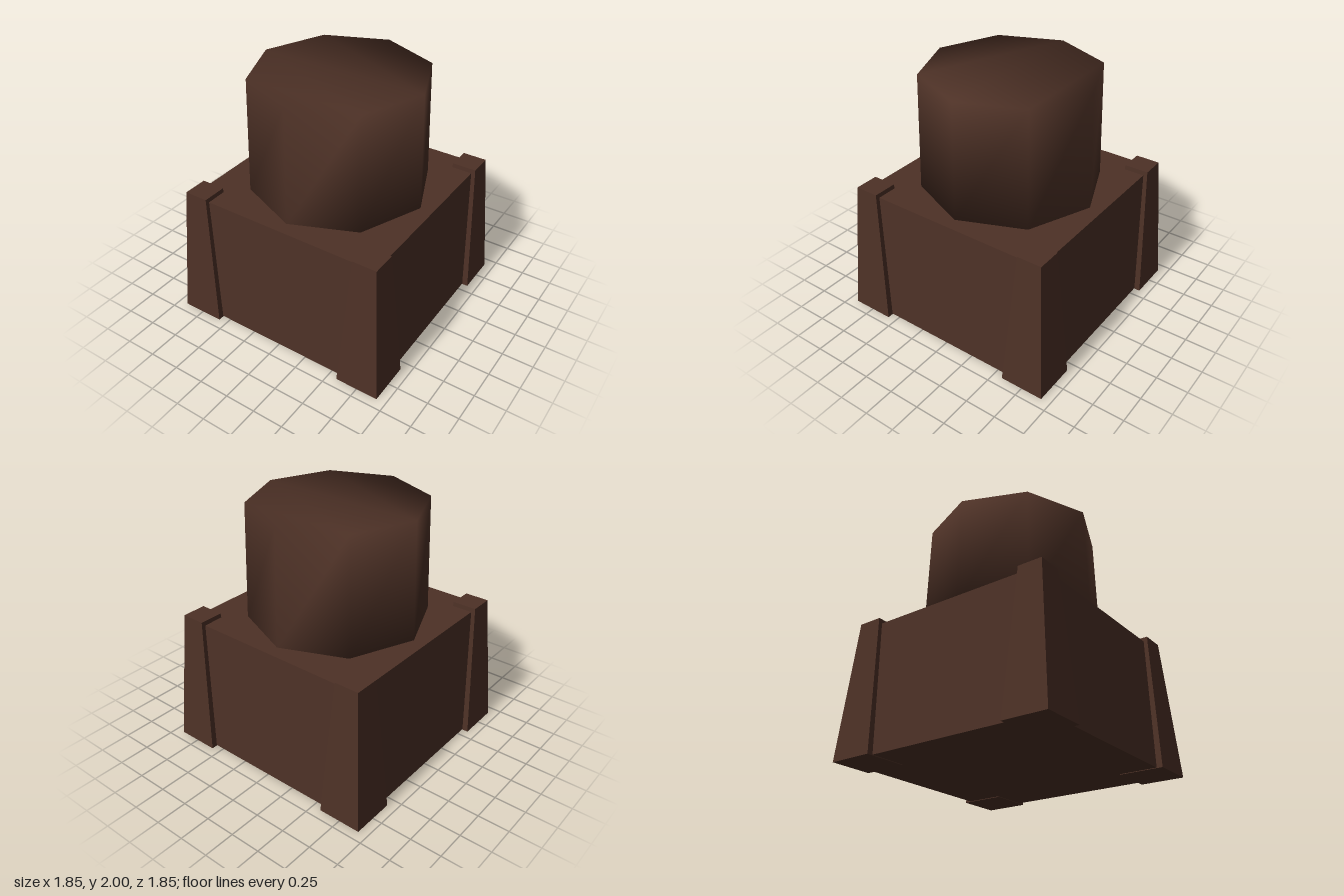
import * as THREE from 'three';

const brown = new THREE.MeshStandardMaterial({ color: 0x4d3126 });
brown.name = 'dark brown';

// Box whose top and bottom have different half widths
function taperedBlock(bottomHalf, topHalf, y0, y1) {
  const geo = new THREE.BoxGeometry(2, 1, 2);
  const p = geo.attributes.position;
  for (let i = 0; i < p.count; i++) {
    const up = p.getY(i) > 0;
    const half = up ? topHalf : bottomHalf;
    p.setXYZ(i, p.getX(i) * half, up ? y1 : y0, p.getZ(i) * half);
  }
  geo.computeVertexNormals();
  return geo;
}

// Closed eight-sided drum, with shared vertices so the shading rolls over the rim
function smoothDrum(bottomRadius, topRadius, y0, y1, sides) {
  const pos = [], index = [];
  for (const [r, y] of [[bottomRadius, y0], [topRadius, y1]]) {
    for (let i = 0; i < sides; i++) {
      const a = (i / sides) * Math.PI * 2;
      pos.push(r * Math.sin(a), y, r * Math.cos(a));
    }
  }
  for (let i = 0; i < sides; i++) {
    const j = (i + 1) % sides;
    index.push(i, j, sides + j, i, sides + j, sides + i);
  }
  // Caps, cut into a zigzag strip
  for (let lo = 0, hi = sides - 1, flip = false; hi - lo > 1; flip = !flip) {
    const [a, b, c] = flip ? [lo, hi - 1, hi] : [lo, lo + 1, hi];
    index.push(sides + a, sides + b, sides + c, a, c, b);
    if (flip) hi--; else lo++;
  }
  const geo = new THREE.BufferGeometry();
  geo.setAttribute('position', new THREE.Float32BufferAttribute(pos, 3));
  geo.setIndex(index);
  geo.computeVertexNormals();
  return geo;
}

export function createModel() {
  const model = new THREE.Group();
  const add = (name, geo, x = 0, z = 0) => {
    const mesh = new THREE.Mesh(geo, brown);
    mesh.name = name;
    mesh.position.set(x, 0, z);
    model.add(mesh);
  };

  add('base', taperedBlock(0.875, 0.815, 0.005, 1.07));
  add('drum', smoothDrum(0.712, 0.685, 1.06, 2, 8));

  // Corner posts, one per corner
  const post = taperedBlock(0.175, 0.0975, 0, 1.105);
  for (const [sz, end] of [[1, 'front'], [-1, 'back']]) {
    for (const [sx, side] of [[1, 'Left'], [-1, 'Right']]) {
      add(end + side + 'Post', post, sx * 0.748, sz * 0.748);
    }
  }
  return model;
}
